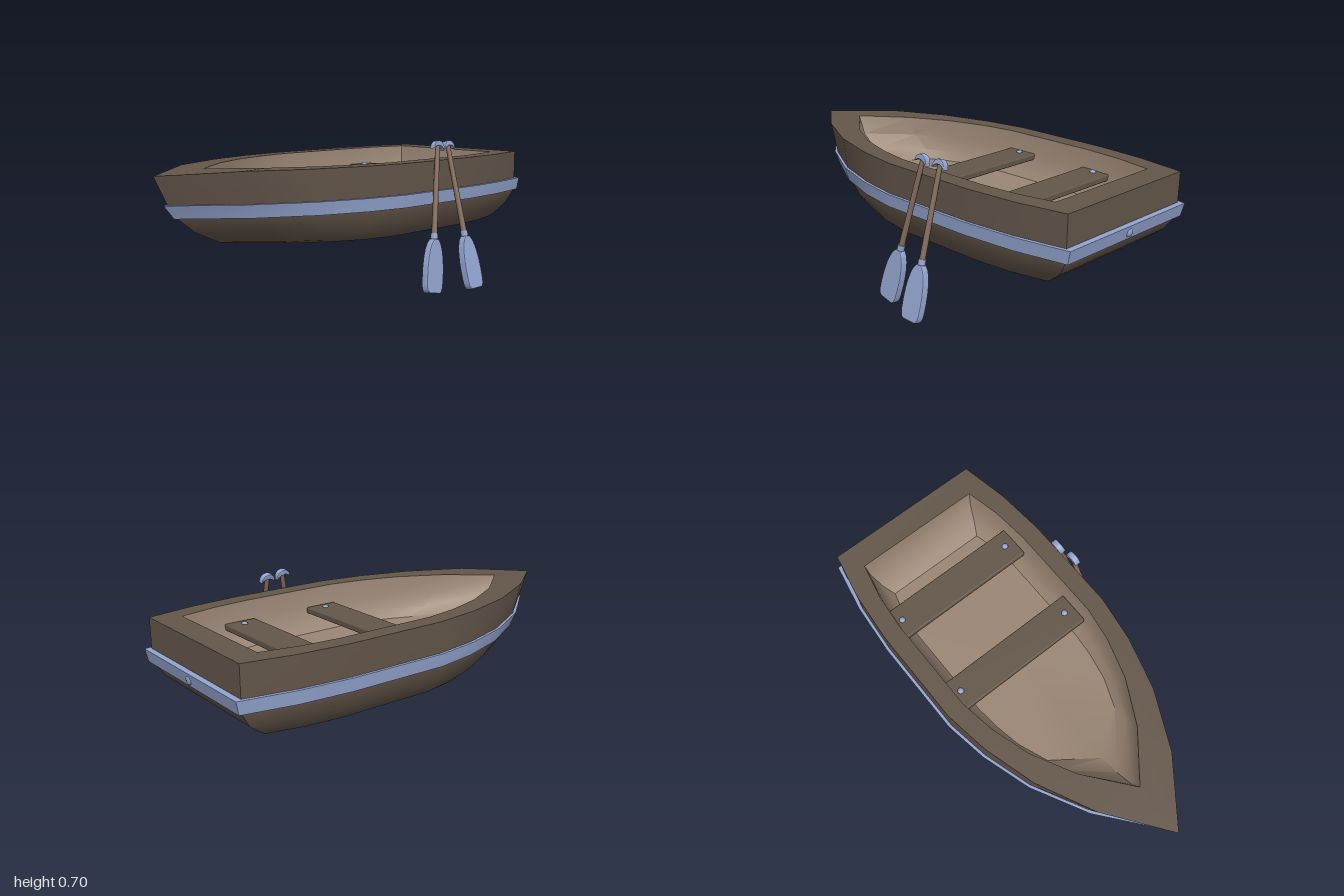
import * as THREE from 'three';
import { toCreasedNormals } from 'three/addons/utils/BufferGeometryUtils.js';
import { RoundedBoxGeometry } from 'three/addons/geometries/RoundedBoxGeometry.js';

const CZ = -0.085; // centre line of the boat
const mat = (color) => new THREE.MeshStandardMaterial({ color });
const wood = mat(0x64564a), innerWood = mat(0x9a8675), shaftWood = mat(0x846c5c), blue = mat(0x93a4cf);

// Plan of one side, bow to stern: x and share of the greatest half width
const PLAN = [[-1, 0], [-0.72, 0.47], [-0.45, 0.765], [-0.2, 0.925], [0.02, 1], [0.5, 1], [0.74, 0.955], [0.97, 0.855]];

// Closed outline at height y; fullness below 1 makes the bow blunter
function ring(y, bow, stern, width, fullness = 1) {
  const side = PLAN.map(([x, w]) => [
    x < 0.02 ? 0.02 - (0.02 - x) * (0.02 - bow) / 1.02 : x > 0.5 ? 0.5 + (x - 0.5) * (stern - 0.5) / 0.47 : x,
    width * (x < 0.02 ? Math.pow(w, fullness) : w),
  ]);
  const point = ([x, w], s) => new THREE.Vector3(x, x < -0.9 && y > 0.55 ? y - 0.015 : y, CZ + s * w);
  return [...side.map((p) => point(p, 1)), ...side.slice(1).reverse().map((p) => point(p, -1))];
}

// Skin a stack of rings, optionally closing the first or last one
function loft(rings, capStart, capEnd, crease = 0.6) {
  const pos = [];
  const tri = (...v) => v.forEach((p) => pos.push(p.x, p.y, p.z));
  const n = rings[0].length;
  const middle = (r) => new THREE.Vector3(0.1, r[0].y, CZ);
  for (let j = 0; j < n; j++) {
    const k = (j + 1) % n;
    for (let i = 0; i < rings.length - 1; i++) {
      const a = rings[i], b = rings[i + 1];
      tri(a[j], a[k], b[k]);
      tri(a[j], b[k], b[j]);
    }
    if (capStart) tri(middle(rings[0]), rings[0][k], rings[0][j]);
    const last = rings[rings.length - 1];
    if (capEnd) tri(middle(last), last[j], last[k]);
  }
  const g = new THREE.BufferGeometry();
  g.setAttribute('position', new THREE.Float32BufferAttribute(pos, 3));
  return toCreasedNormals(g, crease);
}

function add(parent, name, geometry, material, x = 0, y = 0, z = 0) {
  const m = new THREE.Mesh(geometry, material);
  m.name = name;
  m.position.set(x, y, z);
  parent.add(m);
  return m;
}

// Oar standing on its blade tip, shaft along +y
function makeOar(name) {
  const oar = new THREE.Group();
  oar.name = name;

  const s = new THREE.Shape();
  s.moveTo(-0.034, 0.006);
  s.lineTo(0.034, 0.006);
  s.quadraticCurveTo(0.047, 0.01, 0.049, 0.04);
  s.bezierCurveTo(0.055, 0.13, 0.042, 0.22, 0.012, 0.242);
  s.lineTo(-0.012, 0.242);
  s.bezierCurveTo(-0.042, 0.22, -0.055, 0.13, -0.049, 0.04);
  s.quadraticCurveTo(-0.047, 0.01, -0.034, 0.006);
  const blade = new THREE.ExtrudeGeometry(s, {
    depth: 0.024, bevelThickness: 0.006, bevelSize: 0.006, bevelSegments: 2, curveSegments: 6,
  });
  blade.translate(0, 0, -0.012);
  add(oar, 'blade', blade, blue);
  add(oar, 'collar', new THREE.CylinderGeometry(0.017, 0.017, 0.025, 10), blue, 0, 0.262, 0);
  add(oar, 'shaft', new THREE.CylinderGeometry(0.011, 0.014, 0.46, 10), shaftWood, 0, 0.465, 0);

  // Crescent grip
  const g = new THREE.Shape();
  g.moveTo(-0.034, 0.668);
  g.quadraticCurveTo(-0.028, 0.702, 0, 0.702);
  g.quadraticCurveTo(0.028, 0.702, 0.034, 0.668);
  g.quadraticCurveTo(0.018, 0.686, 0, 0.684);
  g.quadraticCurveTo(-0.018, 0.686, -0.034, 0.668);
  const grip = new THREE.ExtrudeGeometry(g, {
    depth: 0.02, bevelThickness: 0.005, bevelSize: 0.003, bevelSegments: 2, curveSegments: 6,
  });
  grip.translate(0, 0, -0.01);
  add(oar, 'grip', grip, blue);
  return oar;
}

export function createModel() {
  const boat = new THREE.Group();
  boat.name = 'rowingBoat';

  // Outer shell, up to the flat rim
  add(boat, 'hull', loft([
    ring(0.26, -0.58, 0.83, 0.37),
    ring(0.275, -0.68, 0.855, 0.386),
    ring(0.33, -0.8, 0.925, 0.42),
    ring(0.4, -0.89, 0.97, 0.443),
    ring(0.46, -0.935, 0.97, 0.445),
    ring(0.6, -1, 0.97, 0.445),
    ring(0.6, -0.75, 0.85, 0.36),
  ], true, false), wood);

  // Bowl-shaped inside with a flat floor
  add(boat, 'interior', loft([
    ring(0.6, -0.75, 0.85, 0.36),
    ring(0.51, -0.71, 0.84, 0.35, 0.85),
    ring(0.44, -0.62, 0.79, 0.325, 0.65),
    ring(0.4, -0.52, 0.74, 0.293, 0.5),
  ], false, true), innerWood);

  // Rubbing band around the hull
  add(boat, 'rubbingBand', loft([
    ring(0.4, -0.88, 0.96, 0.435),
    ring(0.4, -0.905, 0.985, 0.453),
    ring(0.46, -0.955, 0.998, 0.459),
    ring(0.46, -0.925, 0.96, 0.435),
  ], false, false, 0.5), blue);

  // Stern knob
  const knob = add(boat, 'sternKnob', new THREE.SphereGeometry(0.022, 8, 6), blue, 0.988, 0.43, CZ);
  knob.scale.x = 0.5;

  // Two benches, bolted at both ends
  for (const [name, x] of [['frontBench', 0.1], ['rearBench', 0.55]]) {
    const bench = new THREE.Group();
    bench.name = name;
    add(bench, 'plank', new RoundedBoxGeometry(0.16, 0.03, 0.71, 2, 0.007), wood, x, 0.5, -0.097);
    for (const z of [-0.405, 0.205]) {
      const bolt = add(bench, 'bolt', new THREE.SphereGeometry(0.015, 10, 6), blue, x + 0.005, 0.515, z);
      bolt.scale.y = 0.7;
    }
    boat.add(bench);
  }

  // Two oars leaning on the left side of the plan
  const upright = makeOar('uprightOar');
  upright.position.set(0.337, 0.005, 0.525);
  upright.rotation.x = -0.257;
  const tilted = makeOar('tiltedOar');
  tilted.position.set(0.11, 0.007, 0.457);
  tilted.rotation.set(-0.138, 0, -0.2);
  boat.add(upright, tilted);

  return boat;
}
